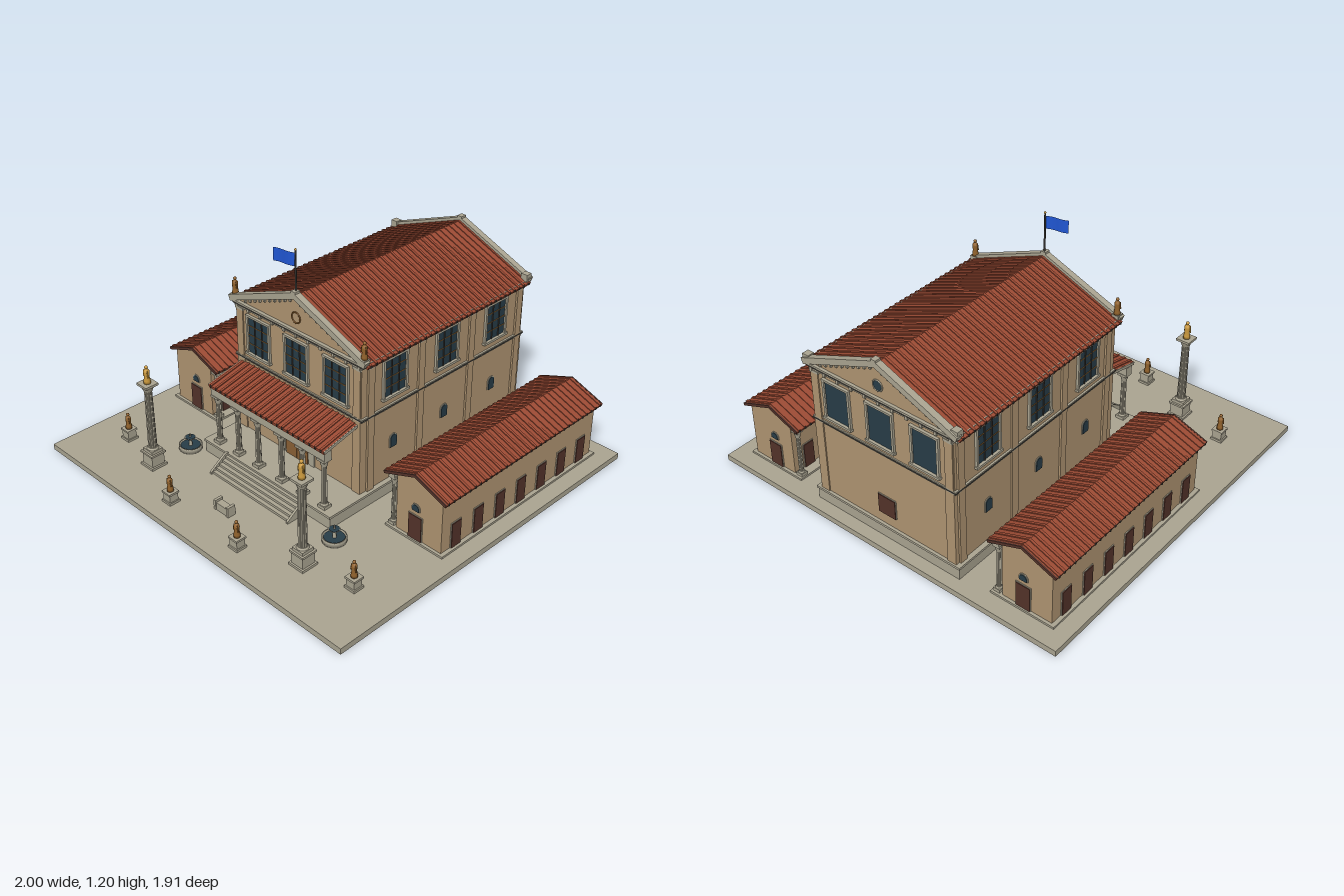
import * as THREE from 'three';

const paint = (name, color, side = THREE.FrontSide) =>
  Object.assign(new THREE.MeshStandardMaterial({ color, side }), { name });

export function createModel() {
  const stone = paint('grey stone', 0xaba592), wall = paint('tan plaster', 0xb09572);
  const tile = paint('terracotta', 0x9c4b34), glass = paint('blue glass', 0x283d48);
  const bronze = paint('bronze', 0x91622c), gold = paint('gold', 0xcc9a3e);
  const oak = paint('oak door', 0x8a6136), dark = paint('dark wood', 0x54332a);
  const iron = paint('dark iron', 0x3d3b37), blue = paint('flag blue', 0x2056d2, THREE.DoubleSide);
  const root = new THREE.Group();
  const group = (name, parent = root, x = 0, y = 0, z = 0, ry = 0) => {
    const g = Object.assign(new THREE.Group(), { name });
    g.position.set(x, y, z);
    g.rotation.y = ry;
    parent.add(g);
    return g;
  };
  const add = (p, name, geo, mat, x = 0, y = 0, z = 0) => {
    const m = Object.assign(new THREE.Mesh(geo, mat), { name });
    m.position.set(x, y, z);
    p.add(m);
    return m;
  };
  // Box given by its extents
  const box = (p, name, mat, x0, x1, y0, y1, z0, z1) => add(p, name,
    new THREE.BoxGeometry(x1 - x0, y1 - y0, z1 - z0), mat, (x0 + x1) / 2, (y0 + y1) / 2, (z0 + z1) / 2);
  const cyl = (p, name, mat, r0, r1, y0, y1, n = 12) => add(p, name,
    new THREE.CylinderGeometry(r1, r0, y1 - y0, n), mat, 0, (y0 + y1) / 2, 0);
  const lathe = (p, name, mat, pts, n) => add(p, name,
    new THREE.LatheGeometry(pts.map(a => new THREE.Vector2(...a)), n), mat);
  const prism = (p, name, mat, pts, z0, z1) => add(p, name, new THREE.ExtrudeGeometry(
    new THREE.Shape(pts.map(a => new THREE.Vector2(...a))), { depth: z1 - z0, bevelEnabled: false }), mat, 0, 0, z0);

  // Sloping slab whose top runs from eave a to ridge b, across z0..z1
  const slab = (p, name, mat, a, b, z0, z1, t) => {
    const dx = b[0] - a[0], dy = b[1] - a[1], L = Math.hypot(dx, dy), s = Math.sign(dx);
    add(p, name, new THREE.BoxGeometry(L, t, z1 - z0), mat, (a[0] + b[0] + s * dy / L * t) / 2,
      (a[1] + b[1] - s * dx / L * t) / 2, (z0 + z1) / 2).rotation.z = Math.atan2(dy, dx);
  };
  // Tiled slope with low flat ribs and eave ends
  const tiled = (p, a, b, z0, z1) => {
    slab(p, 'tile bed', tile, a, b, z0, z1, 0.014);
    const n = Math.round((z1 - z0) / 0.035), up = 0.005;
    for (let i = 0; i < n; i++) {
      const z = z0 + (i + 0.5) * (z1 - z0) / n;
      slab(p, 'tile rib', tile, [a[0], a[1] + up], [b[0], b[1] + up], z - 0.006, z + 0.006, 0.008);
      box(p, 'tile end', iron, a[0] - 0.002, a[0] + 0.002, a[1] - 0.008, a[1] + 0.002, z - 0.004, z + 0.004);
    }
  };

  // Wall fittings, all facing +z with the wall at z = 0
  const tallWindow = (p, x, y, z, ry, barred = true) => {
    const g = group('tall window', p, x, y, z, ry), w = 0.07, h = 0.095;
    box(g, 'pane', glass, -w, w, -h, h, 0, 0.004);
    for (const s of [-1, 1]) box(g, 'jamb', stone, s * 0.074 - 0.006, s * 0.074 + 0.006, -h, h, 0, 0.012);
    box(g, 'sill', stone, -0.085, 0.085, -h - 0.012, -h, 0, 0.018);
    box(g, 'lintel', stone, -0.08, 0.08, h, h + 0.01, 0, 0.014);
    if (!barred) return;
    for (const s of [-1, 1]) box(g, 'upright bar', iron, s * 0.024 - 0.003, s * 0.024 + 0.003, -h, h, 0, 0.008);
    for (const k of [-1, 0, 1]) box(g, 'cross bar', bronze, -w, w, k * 0.048 - 0.0015, k * 0.048 + 0.0015, 0, 0.007);
  };
  const archWindow = (p, x, y, z, ry, h) => {
    const g = group('arched window', p, x, y, z, ry);
    for (const [q, depth, mat] of [[0.025, 0.004, stone], [0.02, 0.007, glass]]) {
      const s = new THREE.Shape();
      s.moveTo(-q, -h / 2).lineTo(q, -h / 2).lineTo(q, h / 2).absarc(0, h / 2, q, 0, Math.PI);
      add(g, 'arch panel', new THREE.ExtrudeGeometry(s, { depth, bevelEnabled: false, curveSegments: 8 }), mat);
    }
  };
  const plainDoor = (p, x, y0, z, ry, w = 0.06, h = 0.13) => {
    const g = group('plain door', p, x, y0, z, ry);
    box(g, 'door surround', stone, -w / 2 - 0.003, w / 2 + 0.003, 0, h + 0.003, 0, 0.004);
    box(g, 'door leaf', dark, -w / 2, w / 2, 0, h, 0, 0.008);
  };
  // Shaft with every second edge drawn in to make flutes
  const fluted = (r0, r1, h) => {
    const geo = new THREE.CylinderGeometry(r1, r0, h, 24, 1, true), p = geo.attributes.position;
    for (let i = 0; i < p.count; i++) if (i % 25 % 2) p.setXYZ(i, p.getX(i) * 0.86, p.getY(i), p.getZ(i) * 0.86);
    const flat = geo.toNonIndexed();
    flat.computeVertexNormals();
    return flat;
  };
  const column = (p, x, z, y0, y1, r) => {
    const g = group('column', p, x, 0, z), q = r * 1.5;
    box(g, 'column base', stone, -q, q, y0, y0 + 0.016, -q, q);
    cyl(g, 'column ring', stone, r * 1.35, r * 1.1, y0 + 0.016, y0 + 0.026);
    add(g, 'column shaft', fluted(r, r * 0.85, y1 - y0 - 0.05), stone, 0, (y0 + y1 - 0.01) / 2, 0);
    cyl(g, 'capital bell', stone, r * 0.9, r * 1.5, y1 - 0.045, y1 - 0.01);
    box(g, 'capital slab', stone, -q * 1.1, q * 1.1, y1 - 0.012, y1, -q * 1.1, q * 1.1);
  };
  const statue = (p, mat, x, y, z, size = 1.08) => {
    const g = group('statue', p, x, y, z);
    g.scale.setScalar(size);
    lathe(g, 'robed body', mat, [[0, 0], [0.015, 0], [0.014, 0.012], [0.011, 0.03], [0.013, 0.05], [0.012, 0.058], [0.005, 0.066], [0, 0.067]], 10);
    add(g, 'head', new THREE.SphereGeometry(0.0075, 10, 8), mat, 0, 0.073, 0);
    for (const s of [-1, 1]) add(g, 'arm', new THREE.CylinderGeometry(0.003, 0.003, 0.03, 6), mat, s * 0.012, 0.045, 0.004).rotation.z = s * 0.15;
  };
  const pedestal = (p, x, z, w, h) => {
    const g = group('pedestal', p, x, 0.03, z);
    for (const [k, y0, y1] of [[1, 0, 0.012], [0.8, 0.012, h - 0.01], [0.95, h - 0.01, h]])
      box(g, 'pedestal tier', stone, -w * k, w * k, y0, y1, -w * k, w * k);
  };
  box(root, 'plaza', stone, -1, 1, 0, 0.03, -0.955, 0.955);

  // Main hall
  const hall = group('main hall');
  box(hall, 'podium', stone, -0.43, 0.43, 0.03, 0.09, -0.89, 0.455);
  box(hall, 'podium edge', stone, -0.435, 0.435, 0.088, 0.1, -0.895, 0.46);
  prism(hall, 'hall walls', wall, [[-0.41, 0.1], [0.41, 0.1], [0.41, 0.795], [0, 0.958], [-0.41, 0.795]], -0.88, 0.24);
  box(hall, 'string course', stone, -0.42, 0.42, 0.494, 0.51, -0.886, 0.247);
  box(hall, 'string shadow line', iron, -0.422, 0.422, 0.499, 0.504, -0.888, 0.249);
  box(hall, 'frieze', stone, -0.418, 0.418, 0.768, 0.779, -0.885, 0.246);
  box(hall, 'gutter line', iron, -0.426, 0.426, 0.779, 0.79, -0.89, 0.252);
  box(hall, 'cornice', stone, -0.435, 0.435, 0.79, 0.8, -0.895, 0.258);
  for (const s of [-1, 1]) {
    tiled(hall, [s * 0.45, 0.792], [0, 0.972], -0.88, 0.24);
    for (const z of [0.185, -0.145, -0.495, -0.845]) {
      box(hall, 'side pilaster', wall, s * 0.414 - 0.006, s * 0.414 + 0.006, 0.1, 0.768, z - 0.02, z + 0.02);
      box(hall, 'pilaster cap', stone, s * 0.415 - 0.008, s * 0.415 + 0.008, 0.755, 0.768, z - 0.024, z + 0.024);
    }
    for (const z of [0.03, -0.32, -0.67]) {
      tallWindow(hall, s * 0.41, 0.655, z, s * Math.PI / 2);
      archWindow(hall, s * 0.41, 0.29, z, s * Math.PI / 2, 0.045);
    }
    statue(hall, bronze, s * 0.42, 0.822, 0.235);
    box(hall, 'rear roof block', stone, s * 0.425 - 0.018, s * 0.425 + 0.018, 0.795, 0.835, -0.89, -0.855);
    box(hall, 'front roof block', stone, s * 0.42 - 0.018, s * 0.42 + 0.018, 0.795, 0.823, 0.218, 0.257);
  }
  // Matching front and rear elevations, centred on the hall
  for (const [ry, front] of [[0, true], [Math.PI, false]]) {
    const f = group(front ? 'front elevation' : 'rear elevation', hall, 0, 0, front ? 0.24 : -0.88, ry);
    for (const x of [-0.255, 0, 0.255]) tallWindow(f, x, 0.645, 0, 0, front);
    for (const s of [-1, 1]) {
      slab(f, 'raking cornice', stone, [s * 0.447, 0.814], [0, 0.992], -0.014, 0.018, 0.03);
      for (let i = 1; i < 11; i++) {
        const x = s * i * 0.034, y = 0.952 - i * 0.0137;
        box(f, 'raking dentil', stone, x - 0.005, x + 0.005, y - 0.007, y + 0.008, 0, 0.01);
      }
      box(f, 'pilaster', wall, s * 0.385 - 0.022, s * 0.385 + 0.022, 0.51, 0.768, 0, 0.006);
      box(f, 'pilaster cap', stone, s * 0.385 - 0.026, s * 0.385 + 0.026, 0.755, 0.768, 0, 0.008);
      box(f, 'corner pier', wall, s * 0.385 - 0.025, s * 0.385 + 0.025, 0.1, 0.494, 0, 0.006);
    }
    for (let i = -5; i <= 5; i++) box(f, 'bracket', stone, i * 0.08 - 0.007, i * 0.08 + 0.007, 0.762, 0.78, 0, 0.01);
    add(f, 'gable ring', new THREE.TorusGeometry(0.027, 0.0035, 8, 24), front ? bronze : stone, 0, 0.86, 0.002);
    add(f, 'ridge block', new THREE.BoxGeometry(0.028, 0.03, 0.032), stone, 0, 0.982, 0.002);
    if (front) continue;
    add(f, 'round window', new THREE.CircleGeometry(0.025, 24), glass, 0, 0.86, 0.003);
    plainDoor(f, 0.01, 0.16, 0, 0, 0.1, 0.1);
  }

  // Grand double door
  const door = group('grand door', hall, 0, 0.1, 0.24);
  box(door, 'door frame', stone, -0.085, 0.085, 0, 0.27, 0, 0.006);
  for (const s of [-1, 1]) {
    box(door, 'door leaf', oak, s * 0.037 - 0.036, s * 0.037 + 0.036, 0, 0.26, 0, 0.012);
    add(door, 'door knob', new THREE.SphereGeometry(0.005, 8, 6), gold, s * 0.01, 0.12, 0.015);
  }
  // Porch and front steps with sloping cheeks
  const porch = group('porch'), porchRoof = group('porch roof', porch, 0, 0, 0, -Math.PI / 2);
  box(porch, 'porch beam', stone, -0.385, 0.385, 0.368, 0.412, 0.398, 0.442);
  box(porch, 'porch eave', tile, -0.388, 0.388, 0.41, 0.426, 0.435, 0.447);
  tiled(porchRoof, [0.452, 0.428], [0.235, 0.477], -0.388, 0.388);
  for (let i = 0; i < 5; i++) box(porch, 'step', stone, -0.262, 0.262, 0.03, 0.09 - i * 0.012, 0.455, 0.475 + i * 0.02);
  for (const s of [-1, 1]) {
    for (const x of [0.08, 0.22, 0.36]) column(porch, s * x, 0.42, 0.1, 0.37, 0.015);
    box(porch, 'wall pilaster', stone, s * 0.1 - 0.013, s * 0.1 + 0.013, 0.1, 0.37, 0.24, 0.248);
    slab(porchRoof, 'porch roof edge', stone, [0.45, 0.428], [0.235, 0.476], s * 0.39 - 0.003, s * 0.39 + 0.003, 0.014);
    const cheek = group('step cheek', porch, s * 0.266, 0, 0, -Math.PI / 2);
    prism(cheek, 'cheek wall', stone, [[0.455, 0.03], [0.565, 0.03], [0.565, 0.04], [0.47, 0.105], [0.455, 0.105]], -0.006, 0.006);
  }

  for (const s of [-1, 1]) {
    // Side wing, local +x being the outer side
    const w = group(s > 0 ? 'left wing' : 'right wing', root, s * 0.75, 0, -0.305, s > 0 ? 0 : Math.PI);
    box(w, 'wing plinth', stone, -0.17, 0.17, 0.03, 0.04, -0.56, 0.56);
    prism(w, 'wing walls', wall, [[-0.115, 0.04], [0.15, 0.04], [0.15, 0.328], [0, 0.384], [-0.15, 0.328], [-0.115, 0.328]], -0.545, 0.545);
    box(w, 'arcade beam', stone, -0.16, -0.13, 0.305, 0.328, -0.55, 0.55);
    for (const e of [-1, 1]) {
      tiled(w, [e * 0.182, 0.326], [0, 0.395], -0.562, 0.562);
      const f = group('wing end', w, 0, 0, e * 0.545, e > 0 ? 0 : Math.PI);
      plainDoor(f, 0, 0.04, 0, 0, 0.075, 0.127);
      archWindow(f, 0, 0.2, 0, 0, 0.012);
      for (const k of [-1, 1]) slab(f, 'verge board', dark, [k * 0.182, 0.327], [0, 0.396], 0.012, 0.02, 0.014);
      for (let i = -3; i <= 3; i++) plainDoor(w, e > 0 ? 0.15 : -0.115, 0.04, i * 0.151, e * Math.PI / 2);
    }
    for (let i = 0; i < 8; i++) column(w, -0.145, -0.53 + i * 1.06 / 7, 0.04, 0.306, 0.012);

    // Plaza monuments
    pedestal(root, s * 0.52, 0.705, 0.045, 0.08);
    column(root, s * 0.52, 0.705, 0.11, 0.49, 0.022);
    statue(root, gold, s * 0.52, 0.49, 0.705, 1.16);
    for (const [x, z] of [[0.78, 0.655], [0.233, 0.83]]) {
      pedestal(root, s * x, z, 0.03, 0.06);
      statue(root, bronze, s * x, 0.09, z);
    }
    const f = group('fountain', root, s * 0.5, 0.03, 0.495);
    lathe(f, 'basin', stone, [[0, 0], [0.058, 0], [0.058, 0.025], [0.05, 0.025], [0.048, 0.012], [0, 0.012]], 24);
    cyl(f, 'basin water', glass, 0.049, 0.049, 0.012, 0.019, 24);
    cyl(f, 'stem', stone, 0.01, 0.007, 0.012, 0.055);
    cyl(f, 'upper bowl', stone, 0.01, 0.028, 0.05, 0.064, 16);
    cyl(f, 'upper water', glass, 0.024, 0.024, 0.06, 0.066, 16);
    cyl(f, 'spout', stone, 0.005, 0.003, 0.064, 0.085);
    box(root, 'bench end', stone, s * 0.043 - 0.007, s * 0.043 + 0.007, 0.03, 0.082, 0.683, 0.727);
  }
  box(root, 'bench seat', stone, -0.04, 0.04, 0.03, 0.07, 0.687, 0.723);

  // Flag
  const flag = group('flag', root, 0, 0, 0.238);
  cyl(flag, 'flagpole', iron, 0.005, 0.004, 0.98, 1.195, 8);
  add(flag, 'finial', new THREE.SphereGeometry(0.006, 8, 6), gold, 0, 1.197, 0);
  const cloth = new THREE.PlaneGeometry(0.112, 0.066, 10, 1), p = cloth.attributes.position;
  for (let i = 0; i < p.count; i++) {
    const t = 0.5 - p.getX(i) / 0.112;
    p.setZ(i, 0.03 * t + 0.004 * Math.sin(t * 6));
  }
  cloth.computeVertexNormals();
  add(flag, 'cloth', cloth, blue, -0.057, 1.148, 0);
  return root;
}
